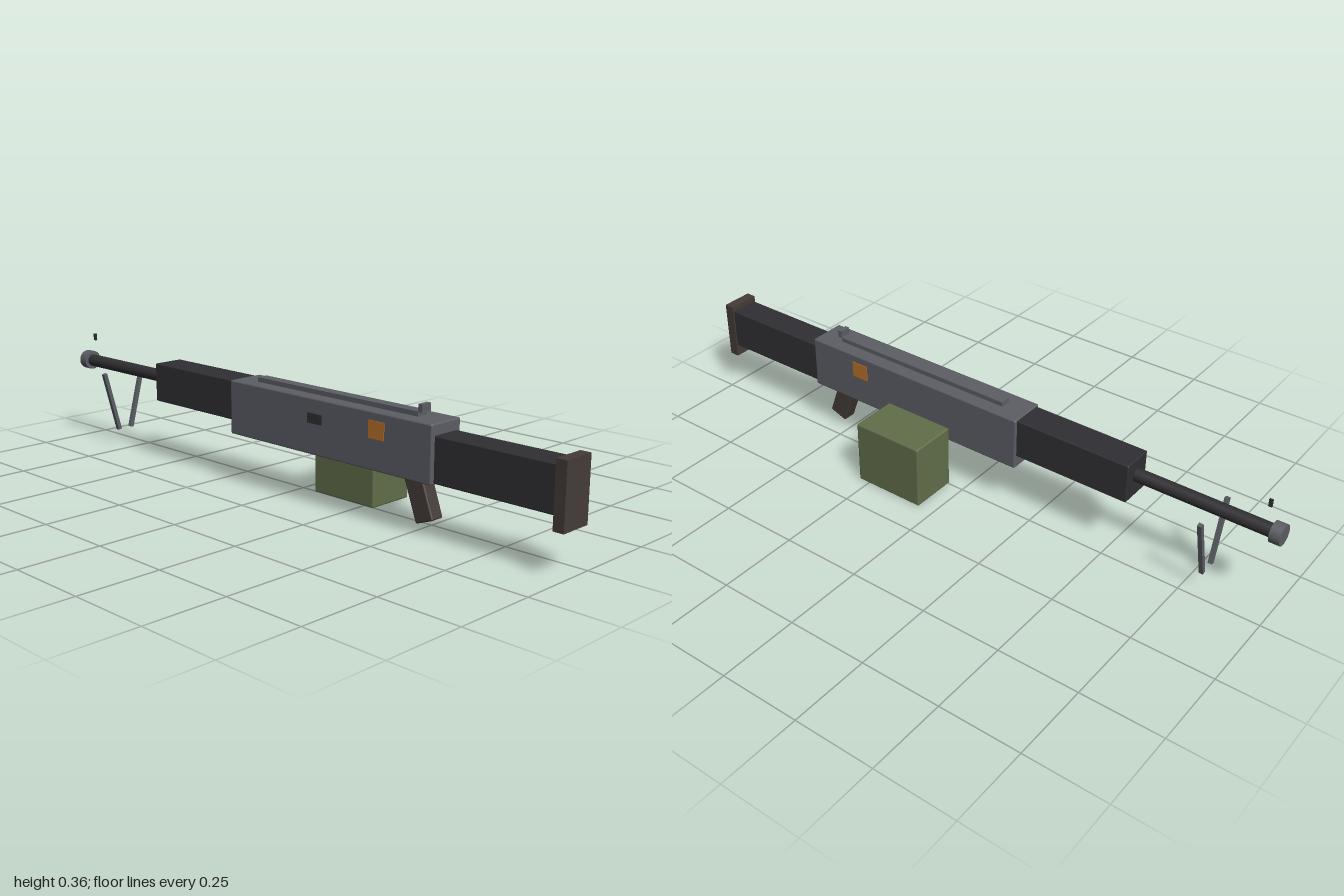
import * as THREE from 'three';
import { RoundedBoxGeometry } from 'three/addons/geometries/RoundedBoxGeometry.js';

const mat = (color) => new THREE.MeshStandardMaterial({ color });

export function createModel() {
  const group = new THREE.Group();
  const axisX = -0.064; // centre line of the weapon
  const boreY = 0.266;
  const steel = mat(0x5c5e65), dark = mat(0x303034), brown = mat(0x453c38);
  const green = mat(0x626e4a), orange = mat(0xb87028);

  const add = (name, geometry, material, x, y, z) => {
    const mesh = new THREE.Mesh(geometry, material);
    mesh.name = name;
    mesh.position.set(x, y, z);
    group.add(mesh);
    return mesh;
  };
  // Box from its ranges in x, y and z, with an optional softened edge
  const box = (name, material, [x0, x1], [y0, y1], [z0, z1], bevel = 0) => {
    const size = [x1 - x0, y1 - y0, z1 - z0];
    const geometry = bevel
      ? new RoundedBoxGeometry(...size, 2, bevel)
      : new THREE.BoxGeometry(...size);
    return add(name, geometry, material, (x0 + x1) / 2, (y0 + y1) / 2, (z0 + z1) / 2);
  };
  const wide = (w) => [axisX - w / 2, axisX + w / 2];
  const tube = (name, material, radius, z0, z1) => {
    const geometry = new THREE.CylinderGeometry(radius, radius, z1 - z0, 20).rotateX(Math.PI / 2);
    return add(name, geometry, material, axisX, boreY, (z0 + z1) / 2);
  };

  // Body
  box('receiver', steel, wide(0.118), [0.157, 0.322], [-0.187, 0.593], 0.005);
  box('stock', dark, wide(0.092), [0.16, 0.29], [0.585, 0.972], 0.004);
  box('buttPlate', brown, wide(0.102), [0.122, 0.306], [0.968, 1.0]);
  box('handguard', dark, wide(0.1), [0.197, 0.319], [-0.557, -0.18], 0.004);

  // Barrel and muzzle
  tube('barrel', dark, 0.02, -0.98, -0.55);
  tube('muzzle', steel, 0.031, -1.0, -0.968);

  // Top rail and sights
  box('topRail', steel, wide(0.035), [0.318, 0.336], [-0.11, 0.51]);
  box('rearSight', steel, wide(0.035), [0.334, 0.357], [0.511, 0.525]);
  box('frontSight', dark, wide(0.007), [0.338, 0.36], [-0.954, -0.944]);

  // Side plates and ejection port
  for (const x of [-0.122, -0.006]) {
    box('sidePlate', orange, [x - 0.003, x + 0.003], [0.247, 0.298], [0.373, 0.43]);
  }
  box('ejectionPort', dark, [-0.127, -0.119], [0.25, 0.279], [0.142, 0.197]);

  // Grip and trigger
  const grip = add('grip', new RoundedBoxGeometry(0.046, 0.15, 0.0625, 2, 0.005), brown, axisX, 0.108, 0.518);
  grip.rotation.x = -0.35;
  box('trigger', dark, wide(0.02), [0.15, 0.16], [0.42, 0.485]);

  // Ammunition box on the left side
  box('ammoBox', green, [-0.005, 0.147], [0, 0.203], [0.053, 0.287], 0.005);

  // Bipod legs, wider apart at the top
  for (const side of [-1, 1]) {
    const leg = add('bipodLeg', new THREE.BoxGeometry(0.013, 0.203, 0.013), steel, axisX + side * 0.0505, 0.154, -0.798);
    leg.rotation.z = -side * 0.26;
  }
  return group;
}
